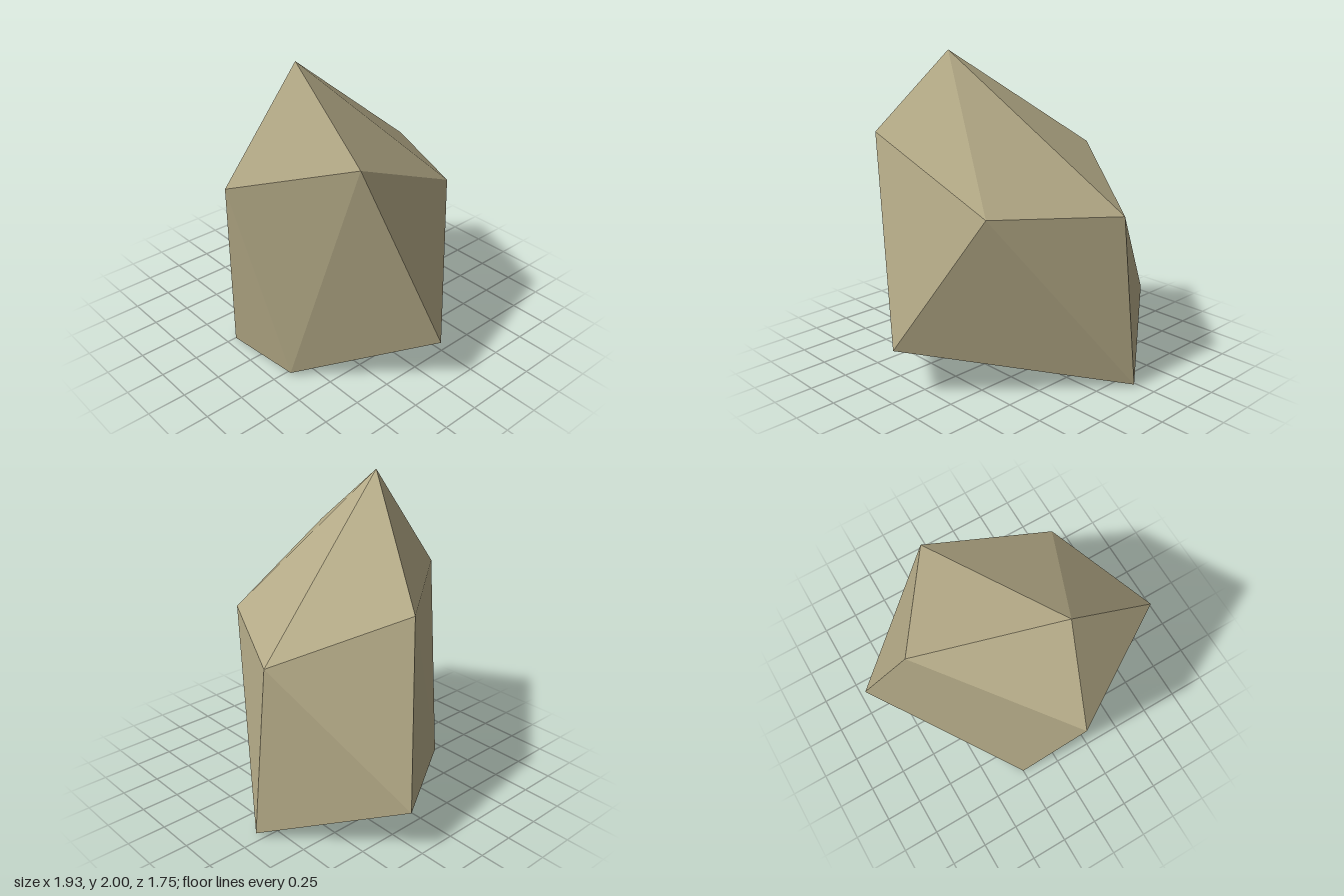
import * as THREE from 'three';

export function createModel() {
  const group = new THREE.Group();
  group.name = 'rock';

  const stone = new THREE.MeshStandardMaterial({ color: 0xb3a986, flatShading: true });
  stone.name = 'stone';

  // Peak, five shoulder corners and five foot corners, both rings running the same way round
  const peak = [0.145, 2.0, 0.435];
  const shoulders = [
    [0.71, 1.55, 0.46], [0.58, 1.15, -0.39], [-0.195, 1.09, -0.765],
    [-0.67, 1.36, -0.03], [0.035, 1.315, 0.875],
  ];
  const feet = [
    [0.965, 0.33, 0.015], [-0.205, 0.02, -0.88], [-0.965, 0.30, -0.32],
    [-0.25, 0.0, 0.685], [0.28, 0.01, 0.64],
  ];

  const corners = [];
  const face = (...points) => points.forEach((p) => corners.push(...p));

  // Cap and the zigzag band of side facets
  for (let i = 0; i < 5; i++) {
    const j = (i + 1) % 5;
    face(peak, shoulders[i], shoulders[j]);
    face(shoulders[i], feet[i], shoulders[j]);
    face(feet[i], feet[j], shoulders[j]);
  }
  // Underside, fanned from the rear foot
  for (let i = 2; i < 5; i++) face(feet[1], feet[(i + 1) % 5], feet[i]);

  const geometry = new THREE.BufferGeometry();
  geometry.setAttribute('position', new THREE.Float32BufferAttribute(corners, 3));
  geometry.computeVertexNormals();

  const boulder = new THREE.Mesh(geometry, stone);
  boulder.name = 'boulder';
  group.add(boulder);
  return group;
}
